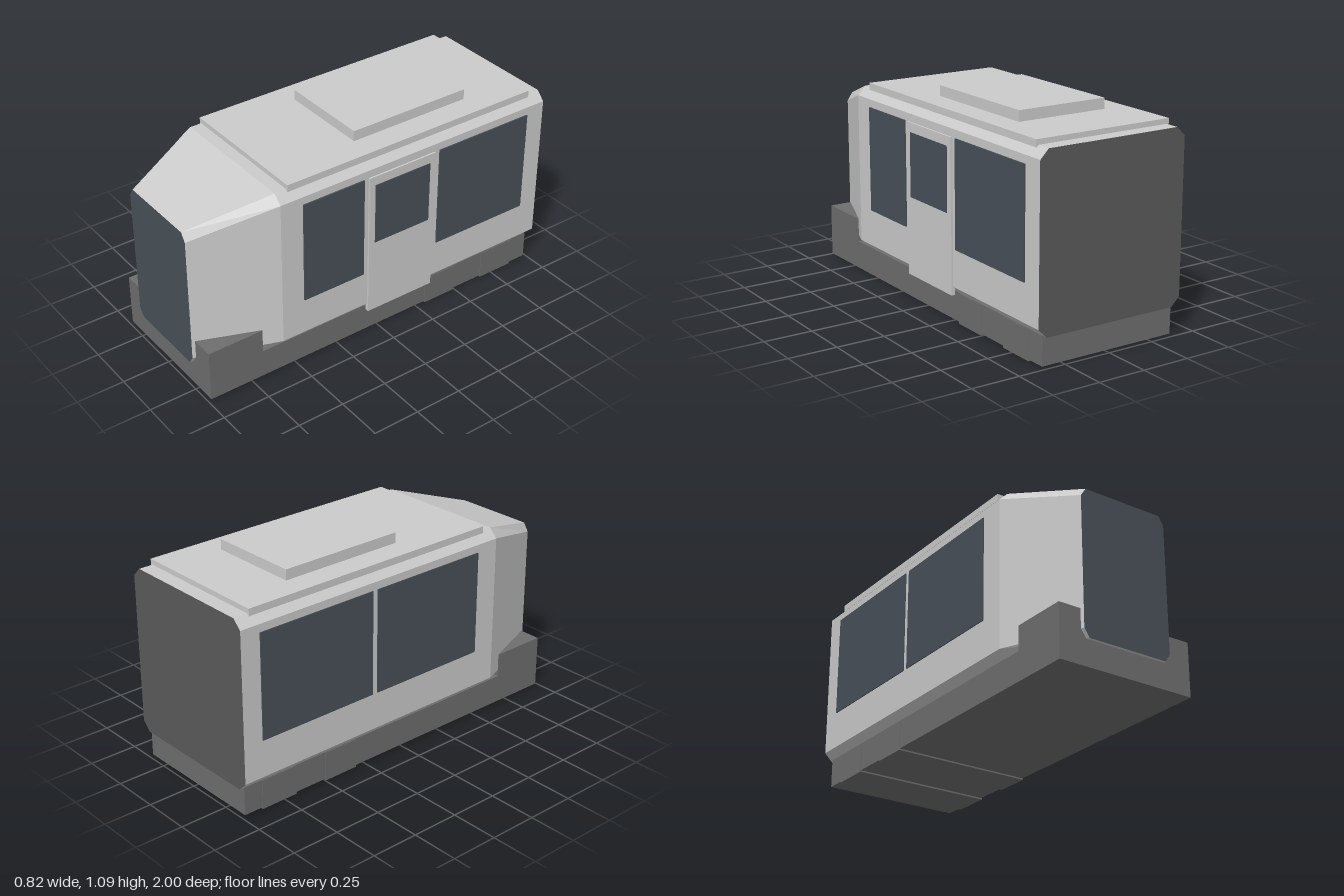
import * as THREE from 'three';

const CX = -0.005; // the hull sits a hair off centre because of the door
const mat = (color) => new THREE.MeshStandardMaterial({ color, flatShading: true });

// Eight-cornered outline, counter-clockwise seen from the front
function outline(w, cx, cy, bottom, top, z) {
  return [
    [w - cx, bottom], [w, bottom + cy], [w, top - cy], [w - cx, top],
    [cx - w, top], [-w, top - cy], [-w, bottom + cy], [cx - w, bottom],
  ].map(([x, y]) => new THREE.Vector3(x + CX, y, z));
}

function fromTriangles(points) {
  const g = new THREE.BufferGeometry().setFromPoints(points);
  g.computeVertexNormals();
  return g;
}

// Walls between successive outlines, ordered back to front
function loft(rings) {
  const pts = [];
  for (let r = 0; r < rings.length - 1; r++) {
    const a = rings[r], b = rings[r + 1];
    for (let i = 0; i < a.length; i++) {
      const j = (i + 1) % a.length;
      pts.push(a[i], a[j], b[j], a[i], b[j], b[i]);
    }
  }
  return fromTriangles(pts);
}

// Flat end cap on an outline
function cap(ring, facesBack) {
  const pts = [];
  for (let i = 1; i < ring.length - 1; i++) {
    if (facesBack) pts.push(ring[0], ring[i + 1], ring[i]);
    else pts.push(ring[0], ring[i], ring[i + 1]);
  }
  return fromTriangles(pts);
}

export function createModel() {
  const model = new THREE.Group();
  model.name = 'railCar';
  const grey = mat(0xcccccc);
  const dark = mat(0x6e6e6e);
  const rear = mat(0x5a5a5a);
  const glass = mat(0x485058);

  const add = (name, geometry, material) => {
    const mesh = new THREE.Mesh(geometry, material);
    mesh.name = name;
    model.add(mesh);
  };
  // Box given by its limits on each axis
  const box = (name, material, [x0, x1], [y0, y1], [z0, z1]) => {
    const g = new THREE.BoxGeometry(x1 - x0, y1 - y0, z1 - z0);
    g.translate((x0 + x1) / 2, (y0 + y1) / 2, (z0 + z1) / 2);
    add(name, g, material);
  };

  // Hull: straight cabin, then a nose tapering to the windshield
  const back = outline(0.403, 0.045, 0.04, 0.148, 1.01, -1);
  const shoulder = outline(0.403, 0.045, 0.045, 0.148, 1.01, 0.59);
  const nose = outline(0.243, 0.028, 0.042, 0.14, 0.886, 1);
  back.forEach((p, i) => { p.y = shoulder[i].y; });
  add('hull', loft([back, shoulder, nose]), grey);
  add('windshield', cap(nose, false), glass);
  add('rearWall', cap(back, true), rear);

  // Roof plate and roof unit
  box('roofPlate', grey, [-0.375, 0.366], [1.0, 1.036], [-0.925, 0.528]);
  box('roofUnit', grey, [-0.247, 0.238], [1.03, 1.09], [-0.612, 0.06]);

  // Underframe with the raised bumper in front
  const frameX = [-0.373, 0.364];
  box('underframe', dark, frameX, [0.008, 0.155], [-0.982, 0.984]);
  box('bumper', dark, frameX, [0.15, 0.28], [0.686, 0.984]);

  // Bogie blocks, slightly proud of the underframe
  for (const z of [[-0.495, -0.305], [-0.88, -0.677]]) {
    box('bogieBlock', dark, [-0.376, 0.367], [0, 0.152], z);
  }

  // Left side: door between two windows
  const windowY = [0.385, 0.925];
  for (const z of [[0.12, 0.468], [-0.892, -0.332]]) {
    box('leftWindow', glass, [0.38, 0.405], windowY, z);
  }
  box('door', grey, [0.387, 0.407], [0.15, 0.925], [-0.302, 0.092]);
  box('doorWindow', glass, [0.395, 0.412], [0.553, 0.878], [-0.268, 0.058]);

  // Right side: two wide windows
  for (const z of [[-0.2, 0.462], [-0.895, -0.23]]) {
    box('rightWindow', glass, [-0.413, -0.39], windowY, z);
  }
  return model;
}
